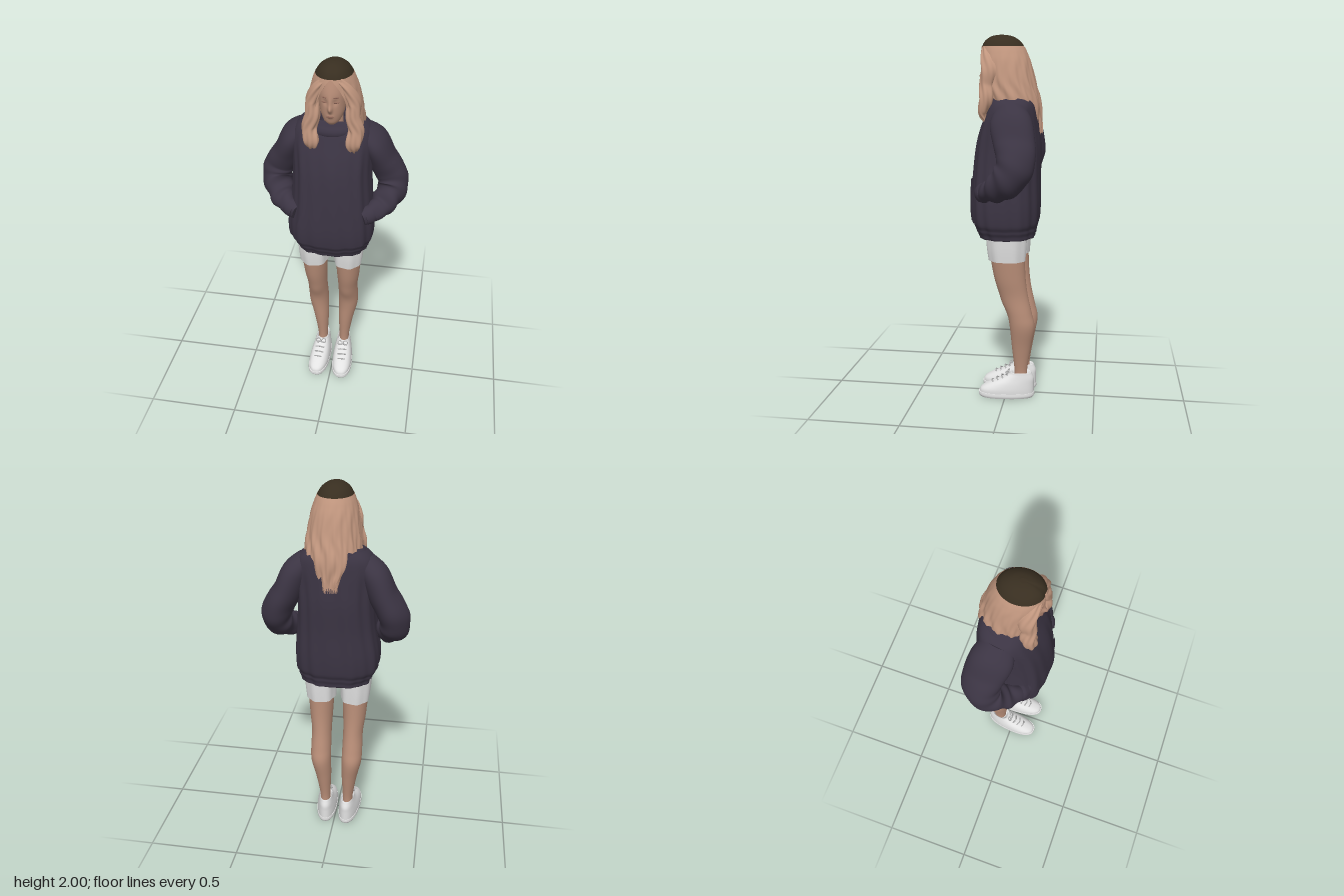
import * as THREE from 'three';

const mat = (name, color, side = THREE.FrontSide) => {
  const m = new THREE.MeshStandardMaterial({ color, side });
  m.name = name;
  return m;
};

// Smooth interpolation through a list of sections [x, y, z, halfWidth, halfDepth]
function resample(sections, count) {
  const last = sections.length - 1;
  const out = [];
  for (let k = 0; k <= count; k++) {
    const t = (k / count) * last, i = Math.min(Math.floor(t), last - 1), f = t - i;
    const [p, q, r, s] = [i - 1, i, i + 1, i + 2].map((n) => sections[Math.min(Math.max(n, 0), last)]);
    out.push(q.map((v, c) => {
      const m0 = (r[c] - p[c]) / 2, m1 = (s[c] - v) / 2, d = r[c] - v;
      return v + f * m0 + f * f * (3 * d - 2 * m0 - m1) + f * f * f * (m0 + m1 - 2 * d);
    }));
  }
  return out;
}

// Surface through rows of points; rows may close on themselves
function skin(rows, closed, flip = false) {
  const n = rows[0].length, index = [];
  for (let i = 0; i < rows.length - 1; i++) {
    for (let j = 0; j < (closed ? n : n - 1); j++) {
      const a = i * n + j, b = i * n + ((j + 1) % n), c = a + n, d = b + n;
      index.push(...(flip ? [a, c, b, b, c, d] : [a, b, c, b, d, c]));
    }
  }
  const g = new THREE.BufferGeometry();
  g.setAttribute('position', new THREE.Float32BufferAttribute(rows.flat(2), 3));
  g.setIndex(index);
  g.computeVertexNormals();
  return g;
}

const power = (v, e) => Math.sign(v) * Math.abs(v) ** (2 / e);

// Closed tube of superelliptic rings; angle 0 faces the front
function loft(sections, { count = 40, seg = 40, exp = 2, follow = false, s = 1, bump = () => 0 } = {}) {
  const list = resample(sections, count);
  const centre = (k) => new THREE.Vector3(...list[Math.min(Math.max(k, 0), count)]);
  const front = new THREE.Vector3(0, 0, 1);
  const rows = list.map(([x, y, z, a, b], k) => {
    const t = follow ? centre(k + 1).sub(centre(k - 1)).normalize() : new THREE.Vector3(0, 1, 0);
    const u = t.clone().cross(front).normalize(), v = u.clone().cross(t);
    return Array.from({ length: seg }, (_, j) => {
      const th = (j / seg) * Math.PI * 2, h = bump(th > Math.PI ? th - 2 * Math.PI : th, y, k / count);
      const p = new THREE.Vector3(x, y, z)
        .addScaledVector(u, (a + h) * power(Math.sin(th), exp))
        .addScaledVector(v, (b + h) * power(Math.cos(th), exp));
      return [p.x * s, p.y, p.z];
    });
  });
  const cap = (k) => rows[0].map(() => [list[k][0] * s, list[k][1], list[k][2]]);
  return skin([cap(0), rows[0], ...rows, rows[count], cap(count)], true, s < 0);
}

export function createModel() {
  const root = new THREE.Group();
  const cloth = mat('dark plum cloth', 0x3b3443, THREE.DoubleSide);
  const hairMat = mat('rosy blond hair', 0xc2977f, THREE.DoubleSide);
  const rootsMat = mat('dark roots', 0x382e20);
  const skinMat = mat('skin', 0xb98e78);
  const white = mat('white', 0xe2e2e2);
  const grey = mat('lace grey', 0xb4b4b4);
  const featureMat = mat('face feature', 0x8d6557);
  const add = (name, geometry, material, parent = root) => {
    const m = new THREE.Mesh(geometry, material);
    m.name = name;
    parent.add(m);
    return m;
  };
  const bell = (v, w) => Math.exp(-((v / w) ** 2));

  // Sweatshirt body with soft vertical folds
  const torso = [
    [0, 0.95, 0, 0.15, 0.11], [0, 0.93, -0.005, 0.19, 0.148], [0, 0.955, -0.002, 0.2, 0.158],
    [-0.004, 1.0, 0.002, 0.224, 0.176], [-0.004, 1.1, 0.003, 0.228, 0.184], [0, 1.25, 0, 0.212, 0.18],
    [0, 1.4, -0.01, 0.203, 0.174], [0, 1.5, -0.018, 0.205, 0.16], [0, 1.58, -0.028, 0.208, 0.143],
    [0, 1.64, -0.035, 0.188, 0.128], [0, 1.68, -0.038, 0.14, 0.108], [0, 1.69, -0.035, 0.1, 0.09],
    [0, 1.65, -0.03, 0.06, 0.06],
  ];
  const folds = (th, y) => (0.003 * Math.sin(9 * th + 1) + 0.0025 * Math.sin(17 * th + y * 5))
    * Math.min(1, Math.max(0, (1.66 - y) * 5)) - 0.006 * bell(y - 0.985, 0.012);
  add('sweatshirt body', loft(torso, { count: 90, seg: 90, exp: 2.5, bump: folds }), cloth);

  // Front pouch pocket, following the body
  const pouch = resample(torso, 90).filter(([, y], k) => k > 18 && y > 1.01 && y < 1.25)
    .map(([x, y, z, a, b]) => Array.from({ length: 25 }, (_, j) => {
      const th = (j / 12 - 1) * (0.85 - (y - 1.01) * 1.6);
      const h = 0.007 + folds(th, y);
      return [x + (a + h) * power(Math.sin(th), 2.5), y, z + (b + h) * power(Math.cos(th), 2.5)];
    }));
  add('pouch pocket', skin(pouch, false), cloth);

  // Hood gathered around the neck
  const hood = add('hood', new THREE.TorusGeometry(0.1, 0.034, 14, 40), cloth);
  hood.rotation.x = Math.PI / 2 + 0.12;
  hood.scale.set(1.2, 1, 1);
  hood.position.set(0, 1.652, -0.03);

  for (const [side, s] of [['left', 1], ['right', -1]]) {
    // Bent sleeve reaching into the pocket
    const arm = [
      [0.15, 1.62, -0.035, 0.045, 0.08], [0.205, 1.55, -0.05, 0.07, 0.108], [0.25, 1.45, -0.07, 0.076, 0.106],
      [0.298, 1.36, -0.08, 0.08, 0.098], [0.31, 1.28, -0.05, 0.078, 0.092], [0.272, 1.222, 0.02, 0.066, 0.072],
      [0.225, 1.2, 0.075, 0.05, 0.052], [0.17, 1.18, 0.115, 0.042, 0.04],
    ];
    const creases = (th, y, t) => 0.005 * Math.sin(t * 46 + 2 * Math.sin(th + s)) * bell(t - 0.68, 0.22)
      + 0.003 * Math.sin(3 * th + t * 12);
    add(side + ' sleeve', loft(arm, { count: 60, follow: true, s, bump: creases }), cloth);
    const cuff = [[0.215, 1.197, 0.083, 0.05, 0.05], [0.2, 1.19, 0.095, 0.053, 0.051], [0.18, 1.183, 0.11, 0.046, 0.044]];
    add(side + ' cuff', loft(cuff, { count: 10, follow: true, s }), cloth);

    const limb = new THREE.Group();
    limb.name = side + ' leg';
    limb.position.x = -0.009;
    root.add(limb);

    // Shorts leg with light creases
    const shorts = [[0.095, 0.805, -0.013, 0.079, 0.099], [0.097, 0.87, -0.011, 0.084, 0.106], [0.098, 0.96, -0.01, 0.09, 0.112]];
    add(side + ' shorts leg', loft(shorts, { count: 16, s, exp: 2.2, bump: (th) => 0.003 * Math.sin(7 * th) }), white, limb);

    // Bare leg: ankle, calf, knee, thigh
    const leg = [
      [0.068, 0.08, -0.088, 0.031, 0.04], [0.067, 0.16, -0.086, 0.029, 0.036], [0.075, 0.3, -0.09, 0.043, 0.054],
      [0.088, 0.42, -0.095, 0.056, 0.069], [0.09, 0.5, -0.08, 0.057, 0.069], [0.09, 0.6, -0.05, 0.056, 0.077],
      [0.094, 0.7, -0.028, 0.064, 0.086], [0.096, 0.83, -0.013, 0.073, 0.095],
    ];
    add(side + ' bare leg', loft(leg, { s, seg: 32, bump: (th, y) => 0.005 * bell(th, 0.6) * bell(y - 0.56, 0.045) }), skinMat, limb);

    // Sneaker: sole, upper and laces
    const shoe = new THREE.Group();
    shoe.name = side + ' sneaker';
    shoe.position.set(s * 0.069, 0, 0);
    shoe.rotation.y = s * 0.06;
    limb.add(shoe);
    const toe = (th) => 0.006 * Math.cos(th) * Math.abs(Math.sin(th));
    const sole = [[0, 0, -0.005, 0.056, 0.15], [0, 0.012, -0.005, 0.061, 0.158], [0, 0.028, -0.005, 0.06, 0.158]];
    add('sole', loft(sole, { count: 6, exp: 2.4, bump: toe }), white, shoe);
    const upper = [
      [0, 0.025, -0.006, 0.058, 0.154], [0, 0.05, -0.01, 0.058, 0.15], [0, 0.08, -0.034, 0.053, 0.126],
      [0, 0.11, -0.068, 0.045, 0.092], [0, 0.135, -0.085, 0.039, 0.066], [0, 0.148, -0.087, 0.036, 0.056],
      [0, 0.13, -0.087, 0.028, 0.04],
    ];
    add('upper', loft(upper, { count: 30, exp: 2.3, bump: toe }), white, shoe);
    for (let k = 0; k < 4; k++) {
      const y = 0.09 + k * 0.015, z = 0.078 - k * 0.027;
      const path = new THREE.CatmullRomCurve3([[-0.026, y - 0.008, z - 0.01], [0, y + 0.005, z], [0.026, y - 0.008, z - 0.01]]
        .map((p) => new THREE.Vector3(...p)));
      add('lace', new THREE.TubeGeometry(path, 8, 0.004, 6), grey, shoe);
    }
    for (const b of [-1, 1]) {
      const bow = add('lace bow', new THREE.TorusGeometry(0.013, 0.003, 6, 14), grey, shoe);
      bow.position.set(b * 0.017, 0.142, -0.012);
      bow.rotation.set(-0.8, 0, 0);
    }

    // Wavy front lock of hair
    const lock = [
      [0.105, 1.55, 0.09, 0.012, 0.01], [0.103, 1.6, 0.11, 0.037, 0.024], [0.116, 1.67, 0.092, 0.037, 0.036],
      [0.098, 1.74, 0.09, 0.036, 0.038], [0.1, 1.81, 0.075, 0.034, 0.046], [0.072, 1.88, 0.088, 0.027, 0.038],
      [0.03, 1.93, 0.1, 0.018, 0.024],
    ];
    const strand = (th, y) => 0.003 * Math.sin(6 * th + y * 40);
    add(side + ' hair lock', loft(lock, { follow: true, s, bump: strand }), hairMat).position.x = 0.014;

    // Lowered eyelid and brow
    for (const [name, y, z, h] of [['eyelid', 1.818, 0.119, 0.0035], ['brow', 1.845, 0.124, 0.003]]) {
      const f = add(side + ' ' + name, new THREE.SphereGeometry(1, 14, 8), featureMat);
      f.scale.set(0.015, h, 0.004);
      f.position.set(0.007 + s * 0.029, y, z - 0.004);
      f.rotation.y = s * 0.35;
    }
  }

  // Neck and face
  add('neck', new THREE.CylinderGeometry(0.045, 0.052, 0.16, 24), skinMat).position.set(0.004, 1.68, -0.005);
  const face = [
    [0.007, 1.69, 0.065, 0.018, 0.025], [0.007, 1.71, 0.06, 0.04, 0.05], [0.007, 1.75, 0.048, 0.058, 0.073],
    [0.007, 1.8, 0.03, 0.069, 0.096], [0.007, 1.86, 0.02, 0.076, 0.108], [0.007, 1.93, 0.02, 0.074, 0.095],
  ];
  const features = (th, y) => 0.018 * bell(th, 0.13) * bell(y - 1.785, 0.018) + 0.008 * bell(th, 0.12) * bell(y - 1.81, 0.03)
    - 0.006 * bell(Math.abs(th) - 0.35, 0.18) * bell(y - 1.82, 0.016) + 0.005 * bell(th, 0.25) * bell(y - 1.745, 0.01);
  add('face', loft(face, { count: 60, seg: 80, bump: features }), skinMat);
  const lips = add('lips', new THREE.SphereGeometry(1, 16, 10), featureMat);
  lips.scale.set(0.017, 0.006, 0.004);
  lips.position.set(0.007, 1.746, 0.1235);

  // Dark crown with a shallow parting
  const crown = [[0.011, 1.937, 0.02, 0.091, 0.112], [0.011, 1.955, 0.022, 0.081, 0.102], [0.011, 1.972, 0.024, 0.067, 0.086],
    [0.011, 1.99, 0.026, 0.04, 0.055], [0.011, 1.997, 0.028, 0.012, 0.018]];
  add('dark hair crown', loft(crown, { count: 16, seg: 48, bump: (th) => -0.006 * bell(th, 0.15) }), rootsMat);

  // Long hair shell, open at the face and narrowing down the back; sixth value is the opening angle
  const mane = [
    [0.01, 1.5, -0.07, 0.09, 0.12, 2.4], [0.01, 1.57, -0.055, 0.122, 0.132, 1.9], [0.013, 1.65, -0.035, 0.145, 0.147, 1.1],
    [0.013, 1.75, -0.012, 0.138, 0.143, 0.7], [0.012, 1.85, 0.004, 0.121, 0.134, 0.5], [0.011, 1.905, 0.014, 0.105, 0.123, 0.28],
    [0.011, 1.938, 0.02, 0.0915, 0.1125, 0.02],
  ];
  const shell = resample(mane, 50).map(([x, y, z, a, b, open]) => Array.from({ length: 97 }, (_, j) => {
    const th = open + (j / 96) * 2 * (Math.PI - open), low = Math.min(1, Math.max(0, (1.93 - y) * 5));
    const h = low * (0.004 * Math.sin(13 * th + 2 * Math.sin(y * 22)) + 0.002 * Math.sin(29 * th));
    const ragged = 0.016 * Math.sin(j * 0.9) * bell(y - 1.5, 0.05);
    return [x + (a + h) * Math.sin(th), y + ragged, z + (b + h) * Math.cos(th)];
  }));
  add('long hair', skin(shell, false), hairMat);

  return root;
}
